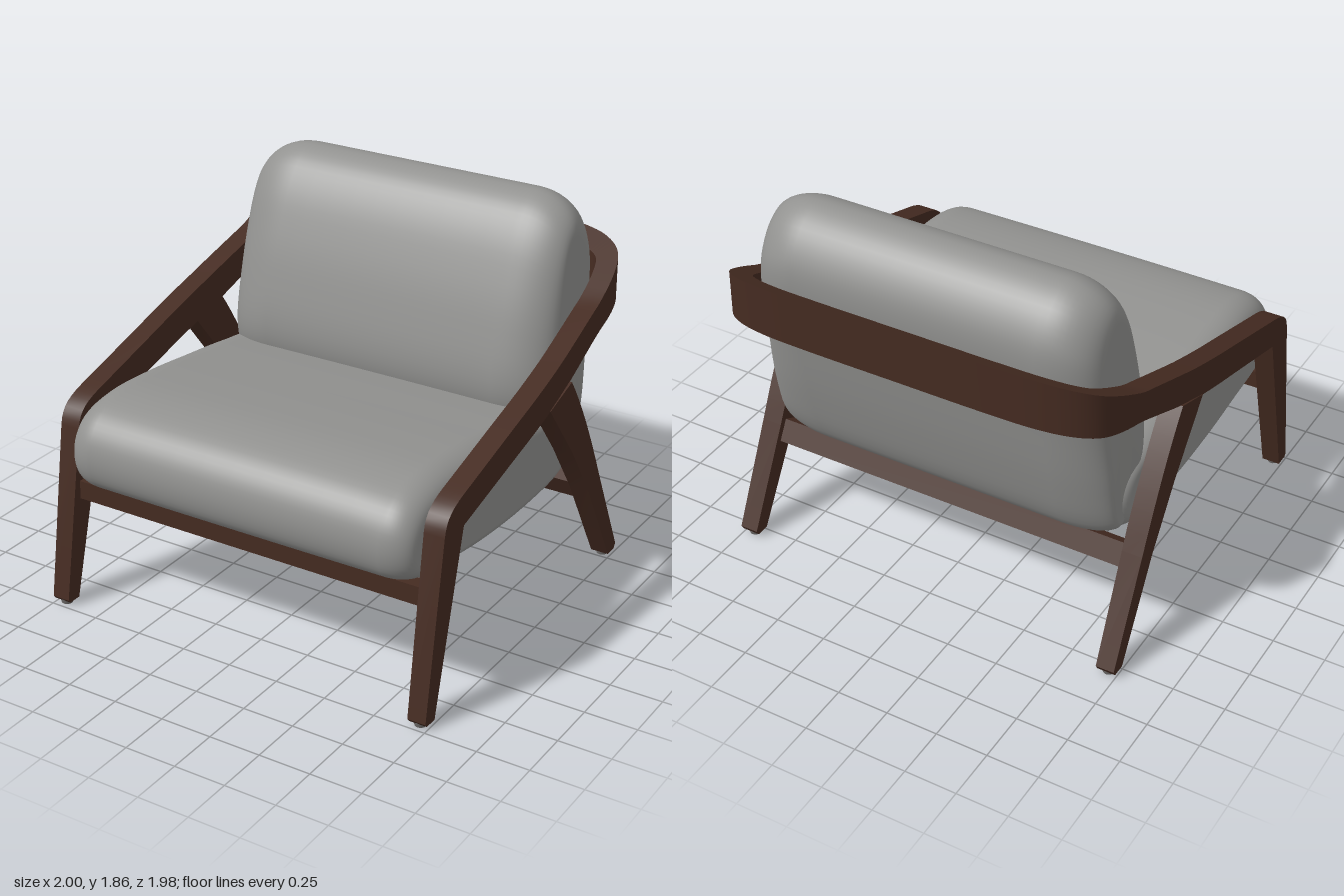
import * as THREE from 'three';
import { toCreasedNormals } from 'three/addons/utils/BufferGeometryUtils.js';

const wood = new THREE.MeshStandardMaterial({ color: 0x452b21 });
wood.name = 'dark wood';
const fabric = new THREE.MeshStandardMaterial({ color: 0x929290 });
fabric.name = 'grey fabric';
const glide = new THREE.MeshStandardMaterial({ color: 0x6f6c6a });
glide.name = 'glide grey';

// Piecewise linear lookup through [z, y] points with falling z
function heightAt(points, z) {
  for (let i = 1; i < points.length; i++) {
    const [z0, y0] = points[i - 1], [z1, y1] = points[i];
    if (z >= z1 || i === points.length - 1) return y0 + (y1 - y0) * (z - z0) / (z1 - z0);
  }
}
const ARM_TOP = [[0.66, 1.02], [-0.15, 1.254], [-0.58, 1.39], [-0.98, 1.59]];
const ARM_BOTTOM = [[0.7, 0.857], [-0.063, 1.063], [-0.265, 1.127], [-0.6, 1.25], [-0.98, 1.35]];
const JOIN_Z = 0.3;

// Skin a list of equal-length rings and close both ends
function loft(rings) {
  const n = rings[0].length, last = rings.length - 1;
  const points = rings.flat(), index = [];
  for (let i = 0; i < last; i++) {
    for (let j = 0; j < n; j++) {
      const k = (j + 1) % n;
      const a = i * n + j, b = a + n, c = (i + 1) * n + k, d = i * n + k;
      index.push(a, b, d, b, c, d);
    }
  }
  for (const end of [0, last]) {
    const centre = new THREE.Vector3();
    rings[end].forEach((p) => centre.addScaledVector(p, 1 / n));
    const c = points.push(centre) - 1;
    for (let j = 0; j < n; j++) {
      const a = end * n + j, b = end * n + (j + 1) % n;
      if (end) index.push(c, b, a);
      else index.push(c, a, b);
    }
  }
  const geometry = new THREE.BufferGeometry().setFromPoints(points);
  geometry.setIndex(index);
  geometry.computeVertexNormals();
  return geometry;
}

// Cushion: a [z, y] outline carried across x, shrinking in a rounded way at both ends
function cushion(outline, { half, round, centre, endScale, crown, narrow }) {
  const curve = new THREE.CatmullRomCurve3(
    outline.map(([z, y]) => new THREE.Vector3(0, y, z)), true, 'centripetal');
  const profile = curve.getPoints(72).slice(0, -1);
  const flat = half - round, rightEnd = [], middle = [];
  for (let k = 12; k >= 0; k--) {
    const a = (k / 12) * Math.PI / 2;
    rightEnd.push([-flat - round * Math.sin(a), 1 - Math.cos(a)]);
  }
  for (let k = 1; k < 10; k++) middle.push([-flat + 2 * flat * k / 10, 0]);
  const leftEnd = rightEnd.map(([x, t]) => [-x, t]).reverse();
  const [cz, cy] = centre, [sz, sy] = endScale;
  return loft([...rightEnd, ...middle, ...leftEnd].map(([x, t]) => {
    const bulge = 1 - crown * (x / half) ** 2;
    return profile.map((p) => new THREE.Vector3(
      x * (1 - narrow * Math.max(0, p.y - 0.9)),
      cy + (p.y - cy) * (1 - (1 - sy) * t) * bulge,
      cz + (p.z - cz) * (1 - (1 - sz) * t)));
  }));
}

// Side part: a shape drawn in z and y, extruded across x, thinner towards the floor
function sidePart(shape, side) {
  const geometry = new THREE.ExtrudeGeometry(shape, { depth: 0.1, bevelEnabled: false, curveSegments: 8 });
  geometry.rotateY(-Math.PI / 2);
  geometry.translate(side > 0 ? 1 : -0.9, 0, 0);
  const pos = geometry.attributes.position;
  for (let i = 0; i < pos.count; i++) {
    if (Math.abs(pos.getX(i)) < 0.95) {
      pos.setX(i, side * (0.912 - 0.012 * Math.min(1, pos.getY(i) / 0.6)));
    }
  }
  return toCreasedNormals(geometry, 0.5);
}

function frontLegShape() {
  const s = new THREE.Shape();
  s.moveTo(0.915, 0.02);
  s.lineTo(0.98, 0.02);
  s.lineTo(0.992, 0.035);
  s.lineTo(0.86, 0.87);
  s.bezierCurveTo(0.845, 0.96, 0.79, 0.985, 0.66, 1.02);
  s.lineTo(JOIN_Z, heightAt(ARM_TOP, JOIN_Z));
  s.lineTo(JOIN_Z, heightAt(ARM_BOTTOM, JOIN_Z));
  s.lineTo(0.7, 0.857);
  return s;
}

function rearLegShape() {
  const s = new THREE.Shape();
  s.moveTo(-0.063, 1.066);
  s.lineTo(-0.265, 1.13);
  s.quadraticCurveTo(-0.42, 0.92, -0.6, 0.53);
  s.lineTo(-0.835, 0.045);
  s.lineTo(-0.82, 0.02);
  s.lineTo(-0.755, 0.02);
  s.lineTo(-0.5, 0.476);
  s.lineTo(-0.31, 0.755);
  return s;
}

// Arms and back rail in one bent band
function armBand() {
  const half = [[0.95, JOIN_Z], [0.95, 0.05], [0.943, -0.17], [0.922, -0.5], [0.904, -0.74],
    [0.872, -0.835], [0.8, -0.89], [0.67, -0.925], [0.45, -0.937]];
  const plan = [...half, [0, -0.938], ...half.map(([x, z]) => [-x, z]).reverse()];
  const curve = new THREE.CatmullRomCurve3(
    plan.map(([x, z]) => new THREE.Vector3(x, 0, z)), false, 'centripetal');
  const up = new THREE.Vector3(0, 1, 0), rings = [];
  for (let i = 0; i <= 100; i++) {
    const p = curve.getPoint(i / 100);
    const out = curve.getTangent(i / 100).cross(up).normalize();
    const outer = p.clone().addScaledVector(out, 0.05);
    const inner = p.clone().addScaledVector(out, -0.05);
    const at = (q, table) => new THREE.Vector3(q.x, heightAt(table, q.z), q.z);
    rings.push([at(outer, ARM_BOTTOM), at(outer, ARM_TOP), at(inner, ARM_TOP), at(inner, ARM_BOTTOM)]);
  }
  return toCreasedNormals(loft(rings), 0.6);
}

export function createModel() {
  const model = new THREE.Group();
  model.name = 'armchair';
  const add = (name, geometry, material) => {
    const mesh = new THREE.Mesh(geometry, material);
    mesh.name = name;
    model.add(mesh);
    return mesh;
  };

  // Wooden frame
  add('armsAndBackRail', armBand(), wood);
  for (const side of [1, -1]) {
    const label = side > 0 ? 'left' : 'right';
    add(label + 'FrontLeg', sidePart(frontLegShape(), side), wood);
    add(label + 'RearLeg', sidePart(rearLegShape(), side), wood);
    for (const [end, z] of [['Front', 0.952], ['Rear', -0.79]]) {
      add(label + end + 'Glide', new THREE.CylinderGeometry(0.032, 0.026, 0.025, 16), glide)
        .position.set(side * 0.953, 0.0125, z);
    }
  }
  add('frontRail', new THREE.BoxGeometry(1.82, 0.09, 0.07), wood).position.set(0, 0.565, 0.835);
  const rearRail = add('rearRail', new THREE.BoxGeometry(1.82, 0.11, 0.075), wood);
  rearRail.position.set(0, 0.472, -0.55);
  rearRail.rotation.x = 0.48;

  // Upholstery
  add('seatCushion', cushion([
    [0.95, 0.67], [0.982, 0.78], [0.96, 0.9], [0.88, 0.99], [0.7, 1.035], [0.4, 1.025],
    [0.1, 0.99], [-0.2, 0.95], [-0.52, 0.88], [-0.6, 0.75], [-0.57, 0.6], [-0.45, 0.53],
    [-0.1, 0.5], [0.3, 0.52], [0.6, 0.565], [0.86, 0.61],
  ], { half: 0.89, round: 0.14, centre: [0.2, 0.74], endScale: [0.88, 0.66], crown: 0.02, narrow: 0 }), fabric);
  add('backCushion', cushion([
    [-0.53, 0.57], [-0.38, 0.7], [-0.25, 0.88], [-0.22, 1.03], [-0.265, 1.29], [-0.33, 1.51],
    [-0.41, 1.7], [-0.5, 1.815], [-0.62, 1.86], [-0.75, 1.805], [-0.84, 1.67], [-0.855, 1.53],
    [-0.8, 1.2], [-0.735, 0.88], [-0.66, 0.64], [-0.6, 0.57],
  ], { half: 0.875, round: 0.26, centre: [-0.54, 0.95], endScale: [0.45, 0.8], crown: 0, narrow: 0.045 }), fabric);

  return model;
}
